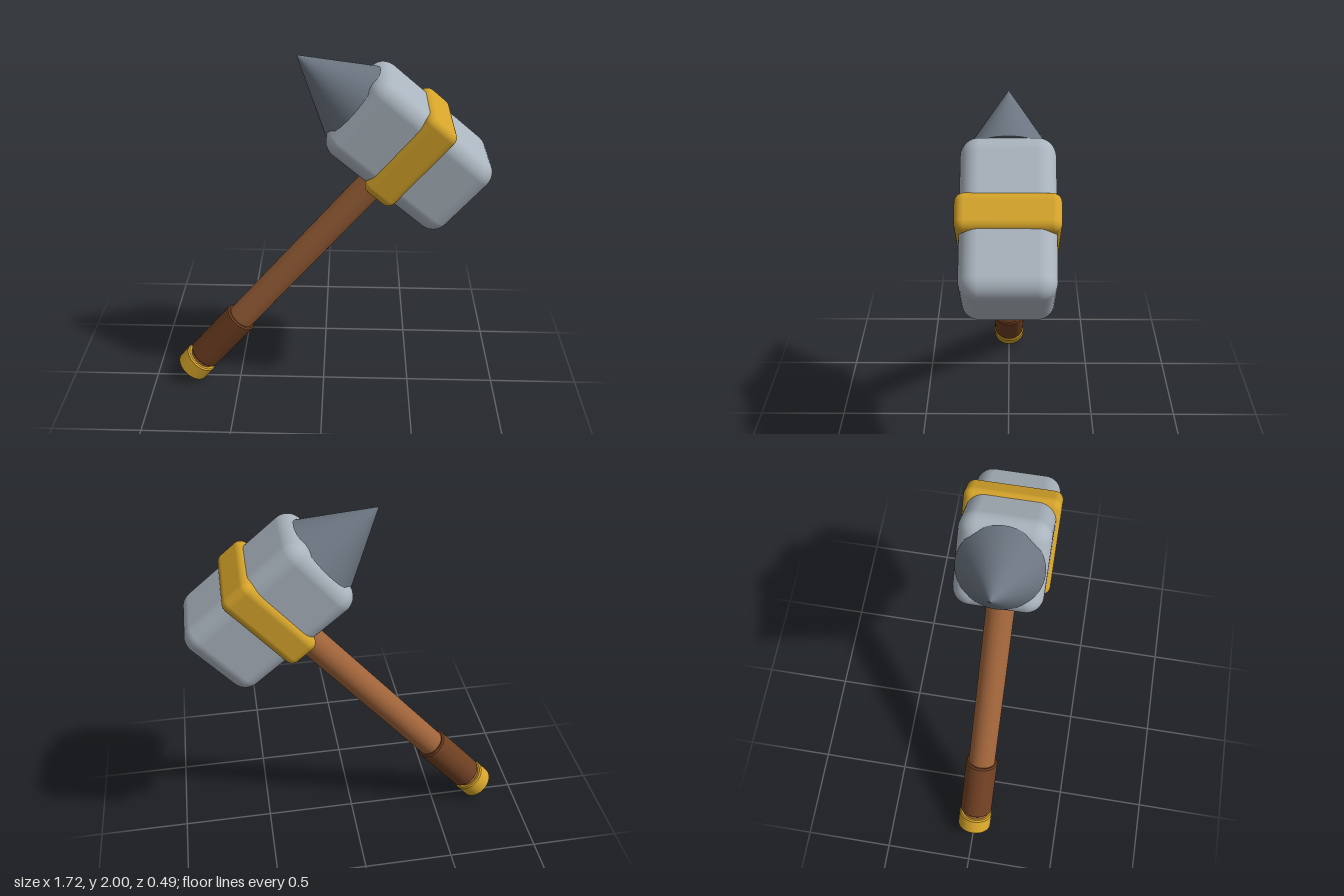
import * as THREE from 'three';
import { toCreasedNormals } from 'three/addons/utils/BufferGeometryUtils.js';
import { RoundedBoxGeometry } from 'three/addons/geometries/RoundedBoxGeometry.js';

const paint = (name, color) => {
  const m = new THREE.MeshStandardMaterial({ color });
  m.name = name;
  return m;
};

// Turned part with bevelled rims, standing between y0 and y1
function turned(radius, y0, y1, bevel) {
  const profile = [
    [0, y0], [radius - bevel, y0], [radius, y0 + bevel],
    [radius, y1 - bevel], [radius - bevel, y1], [0, y1],
  ].map(([x, y]) => new THREE.Vector2(x, y));
  return toCreasedNormals(new THREE.LatheGeometry(profile, 40), 0.6);
}

export function createModel() {
  const steel = paint('pale steel', 0xaab4be);
  const iron = paint('dark iron', 0x6b7480);
  const gold = paint('gold', 0xd4a32a);
  const wood = paint('wood', 0xa0643a);
  const leather = paint('leather', 0x6e3f22);

  const model = new THREE.Group();
  model.name = 'warHammer';

  // Built upright along the handle axis, then leaned 40 degrees
  const hammer = new THREE.Group();
  hammer.name = 'hammer';
  hammer.rotation.z = -THREE.MathUtils.degToRad(40);
  hammer.position.set(-0.494, 0.415, 0);
  model.add(hammer);

  const add = (name, geometry, material, x = 0, y = 0) => {
    const mesh = new THREE.Mesh(geometry, material);
    mesh.name = name;
    mesh.position.set(x, y, 0);
    hammer.add(mesh);
    return mesh;
  };

  // Handle, grip and end cap
  add('handle', turned(0.077, -0.4, 1.3, 0.005), wood);
  add('grip', turned(0.093, -0.337, 0.03, 0.008), leather);
  add('pommel', turned(0.098, -0.46, -0.358, 0.008), gold);

  // Head block with its band
  const headY = 1.446;
  add('head', new RoundedBoxGeometry(0.79, 0.482, 0.45, 5, 0.09), steel, 0, headY);
  add('band', new RoundedBoxGeometry(0.188, 0.52, 0.49, 4, 0.045), gold, 0, headY);

  // Spike on the rear face, its rim overhanging the rounded edges
  const spikeLength = 0.363;
  const spike = add('spike', new THREE.ConeGeometry(0.217, spikeLength, 48), iron,
    -0.382 - spikeLength / 2, headY);
  spike.rotation.z = Math.PI / 2;

  return model;
}
